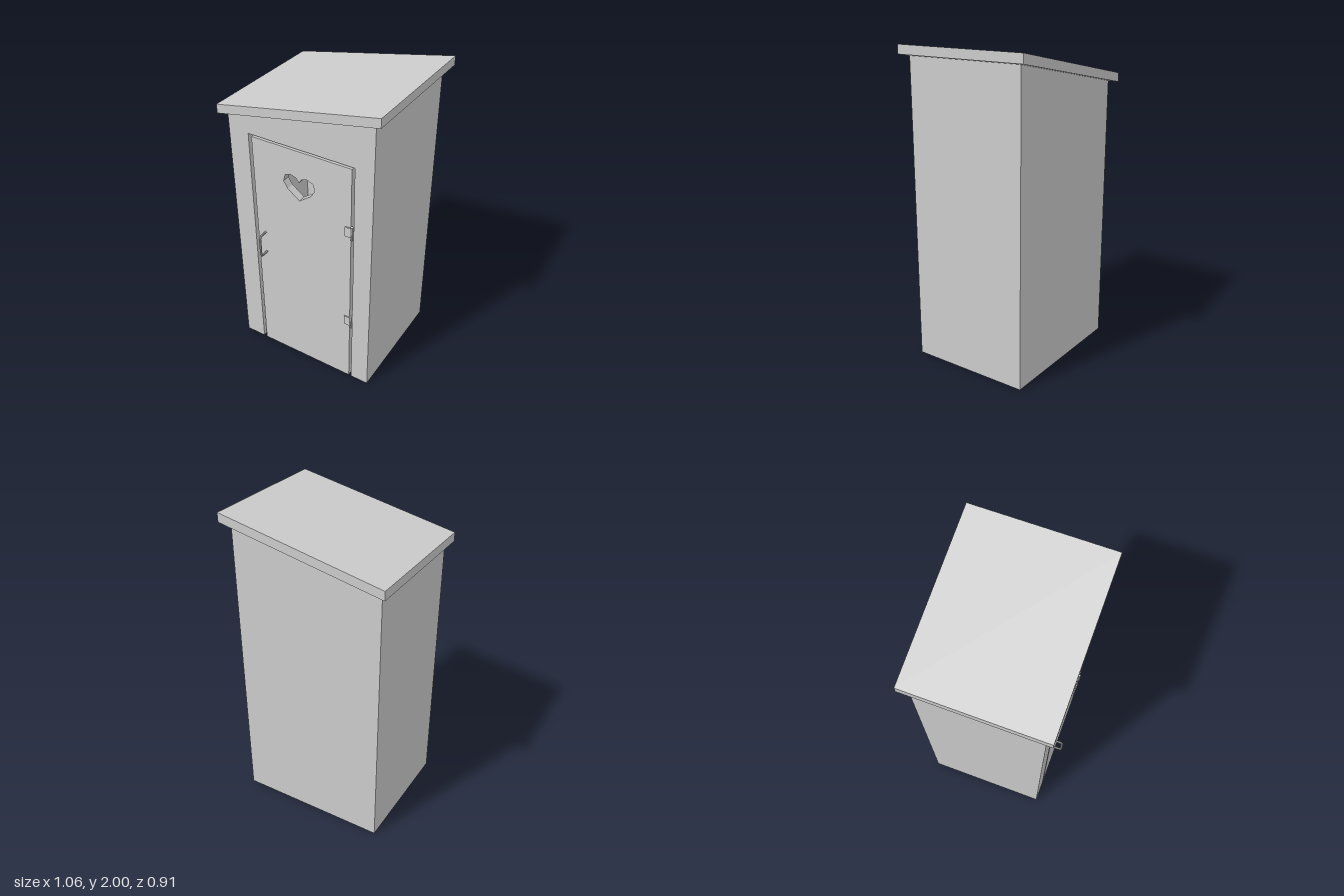
import * as THREE from 'three';

const material = new THREE.MeshStandardMaterial({ color: 0xcccccc, flatShading: true, side: THREE.DoubleSide });
const FRONT = 0.385, BACK = -0.405, LEFT = 0.48, RIGHT = -0.49;
const slope = (x) => 1.735 + 0.196 * (x + 0.53); // underside of the roof

function polygon(points, Type = THREE.Shape) {
  return new Type(points.map(([x, y]) => new THREE.Vector2(x, y)));
}

// Extrudes an outline in x/y between two depths
function slab(name, shape, z0, z1) {
  const geometry = new THREE.ExtrudeGeometry(shape, { depth: z1 - z0, bevelEnabled: false });
  geometry.translate(0, 0, z0);
  const mesh = new THREE.Mesh(geometry, material);
  mesh.name = name;
  return mesh;
}

const rect = (x0, y0, x1, y1) => polygon([[x0, y0], [x1, y0], [x1, y1], [x0, y1]]);

export function createModel() {
  const group = new THREE.Group();
  group.name = 'outhouse';

  // Sloping roof
  group.add(slab('roof', polygon([
    [-0.53, slope(-0.53)], [0.53, slope(0.53)], [0.53, 2], [-0.53, 1.792],
  ]), -0.455, 0.43));

  // Front wall with the doorway cut out down to the ground
  group.add(slab('frontWall', polygon([
    [RIGHT, 0], [-0.352, 0], [-0.352, 1.633], [0.36, 1.633], [0.36, 0],
    [LEFT, 0], [LEFT, slope(LEFT)], [RIGHT, slope(RIGHT)],
  ]), FRONT - 0.05, FRONT));

  // Thin back and side walls, open below
  group.add(slab('backWall', polygon([
    [RIGHT, 0], [LEFT, 0], [LEFT, slope(LEFT)], [RIGHT, slope(RIGHT)],
  ]), BACK, BACK + 0.006));
  for (const [name, x0, x1] of [['rightWall', RIGHT, RIGHT + 0.006], ['leftWall', LEFT - 0.006, LEFT]]) {
    group.add(slab(name, polygon([
      [x0, 0], [x1, 0], [x1, slope(x1)], [x0, slope(x0)],
    ]), BACK + 0.006, FRONT - 0.05));
  }

  // Door with a heart-shaped window, mirrored from one half
  const half = [[0.08, 1.345], [0.108, 1.39], [0.095, 1.435], [0.055, 1.45], [0.018, 1.437]];
  const heart = [[0, 1.285], ...half, [0, 1.41], ...half.map(([x, y]) => [-x, y]).reverse()]
    .map(([x, y]) => [x - 0.008, y]);
  const doorShape = rect(-0.33, 0, 0.342, 1.62);
  doorShape.holes.push(polygon(heart, THREE.Path));
  group.add(slab('door', doorShape, FRONT - 0.05, FRONT));

  // Hinges: a leaf on the door and a knuckle over the gap
  for (const y of [0.497, 1.193]) {
    const hinge = new THREE.Group();
    hinge.name = 'hinge';
    hinge.add(slab('hingeLeaf', rect(0.305, y - 0.033, 0.35, y + 0.033), FRONT, FRONT + 0.008));
    const knuckle = new THREE.Mesh(new THREE.CylinderGeometry(0.009, 0.009, 0.094, 8), material);
    knuckle.name = 'hingeKnuckle';
    knuckle.position.set(0.352, y, FRONT + 0.007);
    hinge.add(knuckle);
    group.add(hinge);
  }

  // Pull handle: a bent bar with short chamfered corners
  const path = new THREE.CurvePath();
  const bar = [[0.797, FRONT - 0.01], [0.797, 0.437], [0.81, 0.448], [0.938, 0.448], [0.951, 0.437], [0.951, FRONT - 0.01]]
    .map(([y, z]) => new THREE.Vector3(-0.273, y, z));
  for (let i = 1; i < bar.length; i++) path.add(new THREE.LineCurve3(bar[i - 1], bar[i]));
  const handle = new THREE.Mesh(new THREE.TubeGeometry(path, 48, 0.007, 8), material);
  handle.name = 'handle';
  group.add(handle);

  return group;
}
